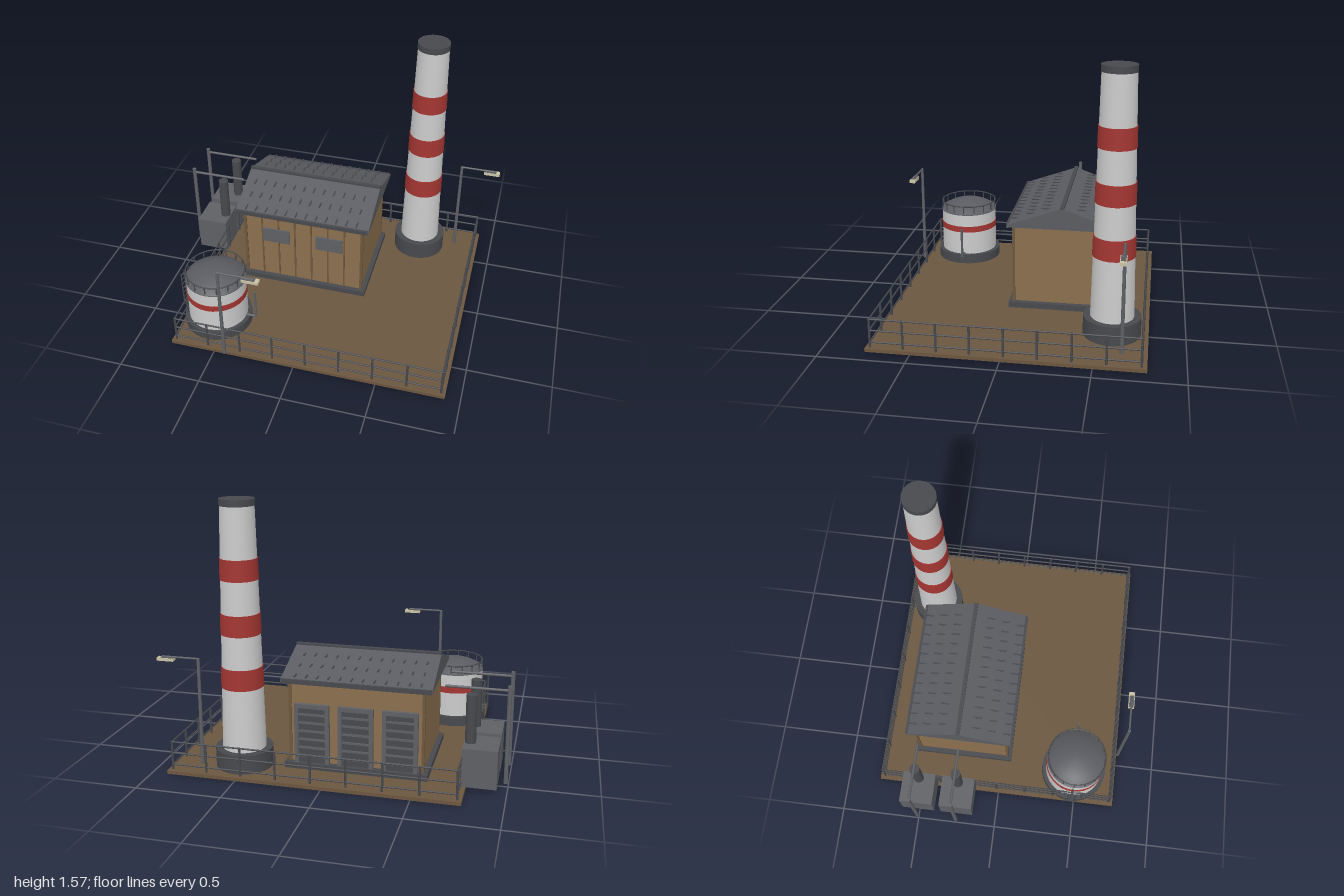
import * as THREE from 'three';

const mat = (color) => new THREE.MeshStandardMaterial({ color });
const M = {
  earth: mat(0x6b563f), wall: mat(0x8b6f4e), batten: mat(0x6e573d), roof: mat(0x5a5c61), dark: mat(0x47494d),
  metal: mat(0x5e6064), pale: mat(0xc4c4c0), red: mat(0xa33632), lamp: mat(0xc9c3a4),
};

export function createModel() {
  const root = new THREE.Group();
  const group = (name, parent = root) => {
    const g = new THREE.Group();
    g.name = name;
    parent.add(g);
    return g;
  };
  const add = (parent, name, geo, m, x = 0, y = 0, z = 0) => {
    const mesh = new THREE.Mesh(geo, m);
    mesh.name = name;
    mesh.position.set(x, y, z);
    parent.add(mesh);
    return mesh;
  };
  // box from its min and max on each axis
  const box = (p, name, m, x0, x1, y0, y1, z0, z1) =>
    add(p, name, new THREE.BoxGeometry(x1 - x0, y1 - y0, z1 - z0), m, (x0 + x1) / 2, (y0 + y1) / 2, (z0 + z1) / 2);
  // upright cylinder between two heights
  const cyl = (p, name, m, x, z, r0, r1, y0, y1, n = 32) =>
    add(p, name, new THREE.CylinderGeometry(r1, r0, y1 - y0, n), m, x, (y0 + y1) / 2, z);
  // round bar between two points
  const bar = (p, name, m, a, b, r) => {
    const from = new THREE.Vector3(...a), dir = new THREE.Vector3(...b).sub(from);
    const mesh = add(p, name, new THREE.CylinderGeometry(r, r, dir.length(), 8), m);
    mesh.position.copy(from).addScaledVector(dir, 0.5);
    mesh.quaternion.setFromUnitVectors(new THREE.Vector3(0, 1, 0), dir.normalize());
    return mesh;
  };

  box(root, 'groundSlab', M.earth, -0.775, 0.91, 0, 0.02, -0.79, 0.755);

  // Perimeter railing
  const rail = group('railing');
  const [X0, X1, Z0, Z1] = [-0.75, 0.885, -0.76, 0.73];
  const corners = [[X0, Z0], [X1, Z0], [X1, Z1], [X0, Z1]];
  corners.forEach(([x, z], i) => {
    const [nx, nz] = corners[(i + 1) % 4];
    for (const y of [0.05, 0.12, 0.187]) bar(rail, 'handrail', M.dark, [x, y, z], [nx, y, nz], 0.005);
    for (let k = 0; k < 8; k++) {
      const t = k / 8;
      cyl(rail, 'railPost', M.dark, x + (nx - x) * t, z + (nz - z) * t, 0.007, 0.007, 0.02, 0.19, 8);
    }
  });

  // Building
  const house = group('building');
  box(house, 'foundation', M.dark, -0.56, 0.27, 0.02, 0.055, -0.585, 0.06);
  box(house, 'walls', M.wall, -0.53, 0.24, 0.055, 0.55, -0.55, 0.03);
  for (let i = 0; i <= 7; i++) {
    const x = -0.525 + i * 0.1086;
    box(house, 'frontBatten', M.batten, x - 0.005, x + 0.005, 0.055, 0.54, 0.03, 0.035);
  }
  for (const x of [-0.53, 0.24]) for (const z of [-0.55, 0.03])
    box(house, 'cornerPost', M.batten, x - 0.008, x + 0.008, 0.055, 0.54, z - 0.008, z + 0.008);
  for (const x of [-0.322, 0.028]) box(house, 'window', M.metal, x - 0.088, x + 0.088, 0.33, 0.43, 0.03, 0.042);

  // Roller doors on the back
  for (const x of [-0.4, -0.145, 0.11]) {
    const d = group('rollerDoor', house);
    box(d, 'doorPanel', M.dark, x - 0.085, x + 0.085, 0.055, 0.39, -0.56, -0.55);
    for (const s of [-1, 1]) box(d, 'doorJamb', M.metal, x + s * 0.09 - 0.012, x + s * 0.09 + 0.012, 0.055, 0.405, -0.572, -0.55);
    box(d, 'doorLintel', M.metal, x - 0.102, x + 0.102, 0.385, 0.41, -0.572, -0.55);
    for (let i = 0; i < 6; i++) {
      const y = 0.09 + i * 0.05;
      box(d, 'doorSlat', M.metal, x - 0.078, x + 0.078, y, y + 0.012, -0.567, -0.56);
    }
  }

  // Gabled roof: a profile across z, extruded along x
  const ridgeZ = -0.263, half = 0.325, ridgeY = 0.672, eaveY = 0.556;
  const gable = new THREE.Shape([[-half, 0.54], [half, 0.54], [half, eaveY], [0, ridgeY], [-half, eaveY]]
    .map(([x, y]) => new THREE.Vector2(x, y)));
  const roof = add(house, 'roof', new THREE.ExtrudeGeometry(gable, { depth: 0.865, bevelEnabled: false }), M.roof, -0.58, 0, ridgeZ);
  roof.rotation.y = Math.PI / 2;
  box(house, 'ridgeCap', M.dark, -0.58, 0.285, 0.665, 0.68, ridgeZ - 0.012, ridgeZ + 0.012);
  for (const s of [-1, 1]) {
    const z = ridgeZ + s * half;
    box(house, 'gutter', M.dark, -0.575, 0.28, 0.535, 0.56, z - 0.008, z + 0.008);
    for (const dz of [0.095, 0.19, 0.285]) for (let i = 0; i < 12; i++) {
      const x = -0.515 + i * 0.0655, zc = ridgeZ + s * dz;
      const y = ridgeY - (ridgeY - eaveY) * dz / half;
      box(house, 'roofCleat', M.dark, x - 0.004, x + 0.004, y, y + 0.006, zc - 0.035, zc + 0.035);
    }
  }

  // Chimney
  const stack = group('chimney');
  const [cx, cz] = [0.512, -0.58];
  const radius = (y) => 0.126 - 0.03 * (y - 0.13) / 1.4;
  cyl(stack, 'chimneyBase', M.dark, cx, cz, 0.166, 0.166, 0.02, 0.133);
  cyl(stack, 'chimneyShaft', M.pale, cx, cz, radius(0.13), radius(1.53), 0.13, 1.53);
  for (const y of [0.5, 0.81, 1.12]) cyl(stack, 'redBand', M.red, cx, cz, radius(y) + 0.004, radius(y + 0.12) + 0.004, y, y + 0.12);
  cyl(stack, 'chimneyCap', M.dark, cx, cz, 0.099, 0.099, 1.527, 1.565);

  // Storage tank
  const tank = group('storageTank');
  const [tx, tz] = [-0.567, 0.478];
  cyl(tank, 'tankBase', M.dark, tx, tz, 0.208, 0.208, 0.02, 0.08);
  cyl(tank, 'tankBody', M.pale, tx, tz, 0.183, 0.183, 0.08, 0.36);
  cyl(tank, 'tankBand', M.red, tx, tz, 0.186, 0.186, 0.235, 0.275);
  const dome = [[0.186, 0.355], [0.186, 0.365], [0.13, 0.395], [0.065, 0.418], [0, 0.42]].map(([r, y]) => new THREE.Vector2(r, y));
  add(tank, 'tankDome', new THREE.LatheGeometry(dome, 32), M.roof, tx, 0, tz);
  add(tank, 'tankRailing', new THREE.TorusGeometry(0.18, 0.004, 6, 40), M.dark, tx, 0.415, tz).rotation.x = Math.PI / 2;
  for (let i = 0; i < 16; i++) {
    const a = i * Math.PI / 8;
    cyl(tank, 'tankRailPost', M.dark, tx + 0.18 * Math.cos(a), tz + 0.18 * Math.sin(a), 0.004, 0.004, 0.36, 0.417, 6);
  }
  bar(tank, 'outletPipe', M.metal, [-0.4, 0.085, tz], [-0.318, 0.085, tz], 0.008);
  bar(tank, 'riserPipe', M.metal, [-0.322, 0.08, tz], [-0.322, 0.28, tz], 0.008);
  for (const z of [0.452, 0.498]) bar(tank, 'ladderRail', M.dark, [-0.79, 0.09, z], [-0.79, 0.335, z], 0.004);
  for (let i = 0; i < 7; i++) {
    const y = 0.105 + i * 0.036;
    bar(tank, 'ladderRung', M.dark, [-0.79, y, 0.452], [-0.79, y, 0.498], 0.003);
    if (i % 3 === 0) bar(tank, 'ladderBracket', M.dark, [-0.79, y, 0.475], [-0.74, y, 0.475], 0.004);
  }

  // Machine cabinets with vent stacks and overhead pipes
  for (const z of [-0.507, -0.255]) {
    const unit = group('machineUnit');
    box(unit, 'cabinet', M.metal, -0.945, -0.75, 0.025, 0.25, z - 0.104, z + 0.104);
    cyl(unit, 'ventStack', M.dark, -0.785, z, 0.031, 0.031, 0.25, 0.53, 20);
    cyl(unit, 'pipeSupport', M.metal, -0.987, z, 0.012, 0.012, 0.025, 0.592, 12);
    bar(unit, 'overheadPipe', M.metal, [-0.99, 0.566, z], [-0.637, 0.566, z], 0.008);
  }

  // Street lamps
  for (const [x, z] of [[0.75, -0.648], [-0.427, 0.765]]) {
    const lamp = group('lampPost');
    cyl(lamp, 'pole', M.metal, x, z, 0.011, 0.009, 0.02, 0.66, 12);
    bar(lamp, 'lampArm', M.metal, [x - 0.005, 0.658, z], [x + 0.22, 0.658, z], 0.006);
    box(lamp, 'lampHead', M.lamp, x + 0.147, x + 0.248, 0.635, 0.653, z - 0.018, z + 0.018);
    box(lamp, 'lampCover', M.metal, x + 0.15, x + 0.225, 0.651, 0.657, z - 0.014, z + 0.014);
  }
  return root;
}
